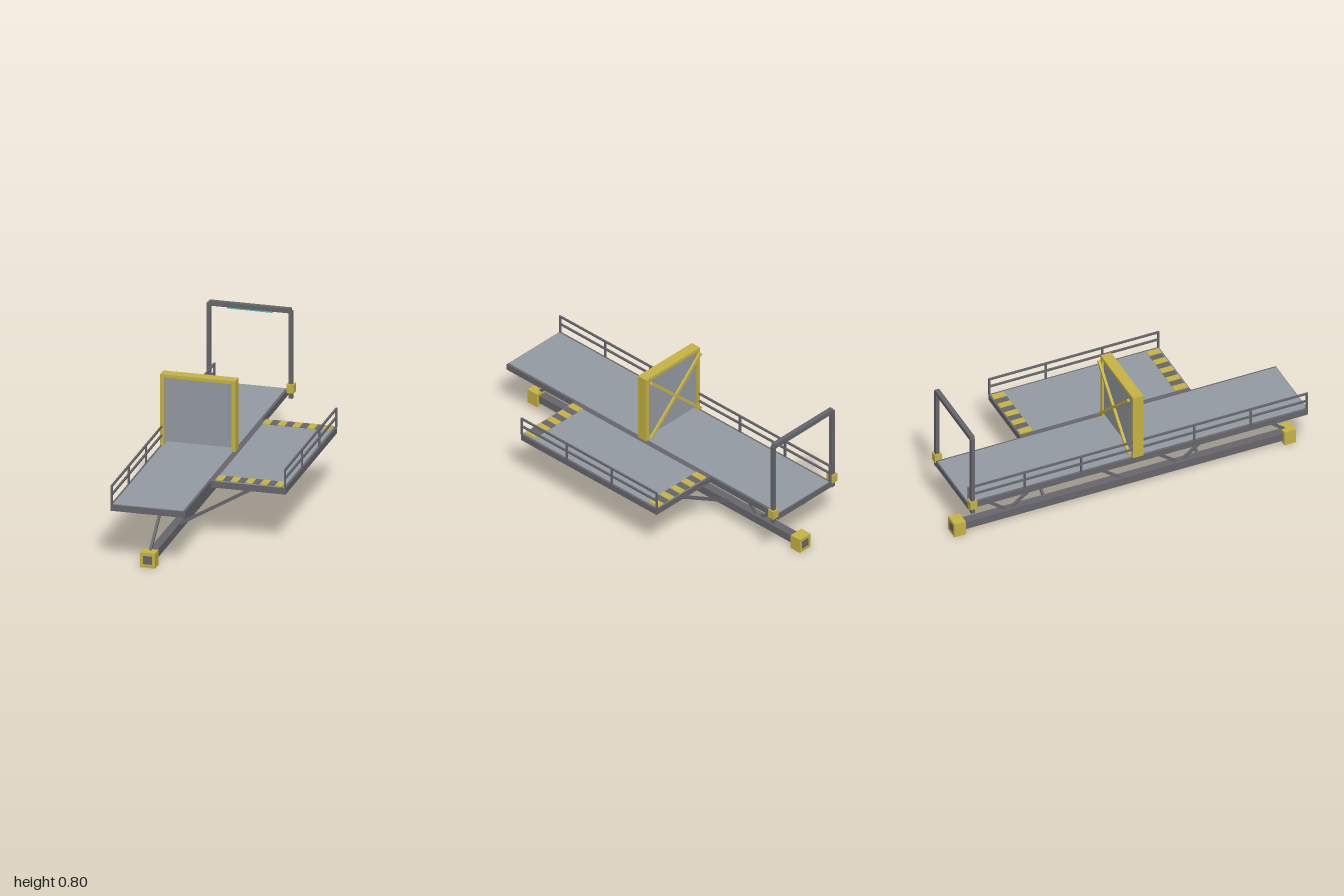
import * as THREE from 'three';

const mat = (name, color) => {
  const m = new THREE.MeshStandardMaterial({ color });
  m.name = name;
  return m;
};

export function createModel() {
  const model = new THREE.Group();
  model.name = 'gantryWalkway';
  const steel = mat('darkSteel', 0x67676d);
  const plate = mat('greyPlate', 0x959ba3);
  const yellow = mat('safetyYellow', 0xc8b444);
  const teal = mat('tealLight', 0x5cc4bc);

  const group = (name) => {
    const g = new THREE.Group();
    g.name = name;
    model.add(g);
    return g;
  };
  // Box given by its minimum and maximum corners
  const box = (parent, name, m, x0, x1, y0, y1, z0, z1) => {
    const mesh = new THREE.Mesh(new THREE.BoxGeometry(x1 - x0, y1 - y0, z1 - z0), m);
    mesh.position.set((x0 + x1) / 2, (y0 + y1) / 2, (z0 + z1) / 2);
    mesh.name = name;
    parent.add(mesh);
    return mesh;
  };
  // Square bar between two points
  const bar = (parent, name, m, a, b, w, d = w) => {
    const p = new THREE.Vector3(...a), q = new THREE.Vector3(...b);
    const mesh = new THREE.Mesh(new THREE.BoxGeometry(w, d, p.distanceTo(q)), m);
    mesh.position.copy(p).add(q).multiplyScalar(0.5);
    mesh.lookAt(q);
    mesh.name = name;
    parent.add(mesh);
  };

  // Framed deck: two side beams, end beams, joists and a thin floor plate
  const deck = (name, x0, x1, half, floorX0, floorX1, joists) => {
    const g = group(name);
    const w = 0.022;
    box(g, 'sideBeam', steel, x0, x0 + w, 0.302, 0.338, -half, half);
    box(g, 'sideBeam', steel, x1 - w, x1, 0.302, 0.338, -half, half);
    for (const s of [-1, 1]) {
      const z = s * (half - w / 2);
      box(g, 'endBeam', steel, x0 + w, x1 - w, 0.302, 0.337, z - w / 2, z + w / 2);
    }
    for (let i = 1; i < joists; i++) {
      const z = -half + (2 * half * i) / joists;
      box(g, 'joist', steel, x0 + w, x1 - w, 0.307, 0.331, z - 0.011, z + 0.011);
    }
    box(g, 'floorPlate', plate, floorX0, floorX1, 0.33, 0.341, -half + 0.005, half - 0.005);
  };
  deck('mainDeck', -0.395, 0.018, 0.995, -0.382, 0.006, 8);
  deck('sideDeck', 0.018, 0.431, 0.498, 0.04, 0.42, 4);

  // Railings along the outer edges
  const railing = (name, x, half, bays) => {
    const g = group(name);
    const r = 0.005;
    for (let i = 0; i <= bays; i++) {
      const z = -half + (2 * half * i) / bays;
      box(g, 'railPost', steel, x - r, x + r, 0.338, 0.44, z - r, z + r);
    }
    for (const y of [0.392, 0.44])
      box(g, 'handRail', steel, x - r, x + r, y - r, y + r, -half - r, half + r);
  };
  railing('mainRailing', -0.39, 0.99, 6);
  railing('sideRailing', 0.427, 0.495, 3);

  // Hazard stripes at both ends of the side deck
  const hazard = group('hazardStripes');
  for (const z of [-0.455, 0.452])
    for (let i = 0; i < 9; i++) {
      const x = 0.04 + i * 0.0412;
      const odd = i % 2;
      box(hazard, odd ? 'darkStripe' : 'yellowStripe', odd ? steel : yellow,
        x, x + 0.0412, 0.339, odd ? 0.344 : 0.345, z - 0.036, z + 0.036);
    }

  // Gate: yellow frame, hanging panel and cross braces on its rear
  const gate = group('gate');
  box(gate, 'gatePost', yellow, -0.397, -0.377, 0.338, 0.72, -0.03, 0.03);
  box(gate, 'gatePost', yellow, -0.001, 0.019, 0.338, 0.72, -0.03, 0.03);
  box(gate, 'gateLintel', yellow, -0.397, 0.019, 0.72, 0.738, -0.03, 0.03);
  box(gate, 'gatePanel', plate, -0.377, -0.001, 0.357, 0.72, -0.02, 0.018);
  bar(gate, 'gateBrace', yellow, [-0.38, 0.362, -0.05], [0.002, 0.722, -0.05], 0.014, 0.016);
  bar(gate, 'gateBrace', yellow, [0.002, 0.362, -0.05], [-0.38, 0.722, -0.05], 0.013, 0.016);

  // Portal at the rear end with clamp blocks and a light strip
  const portal = group('portal');
  for (const x of [-0.416, 0.038]) {
    box(portal, 'portalPost', steel, x - 0.011, x + 0.011, 0.292, 0.788, -0.991, -0.969);
    box(portal, 'clampBlock', yellow, x - 0.02, x + 0.02, 0.325, 0.374, -1, -0.96);
  }
  box(portal, 'portalBeam', steel, -0.416, 0.038, 0.775, 0.801, -0.993, -0.967);
  box(portal, 'lightStrip', teal, -0.314, -0.065, 0.766, 0.776, -0.987, -0.973);

  // Lower beam with yellow end blocks
  const chord = group('lowerChord');
  box(chord, 'lowerBeam', steel, -0.213, -0.165, 0.02, 0.066, -1, 1);
  for (const s of [-1, 1]) {
    const z = s * 0.9655;
    box(chord, 'endBlock', yellow, -0.23, -0.148, 0, 0.084, z - 0.0335, z + 0.0335);
  }

  // Truss diagonals between lower beam and main deck
  const truss = group('truss');
  const t = 1 / 3, lo = 0.05, hi = 0.303;
  const struts = [[2.95, lo, 2, hi], [2, hi, 1, lo], [1, lo, 0, hi],
    [0, lo, -1, hi], [-1, hi, -2, lo], [-2, lo, -2.97, hi]];
  for (const [za, ya, zb, yb] of struts)
    bar(truss, 'diagonal', steel, [-0.189, ya, za * t], [-0.189, yb, zb * t], 0.014);

  // Sloping supports under the side deck
  for (const z of [-0.45, 0.45])
    bar(truss, 'sideSupport', steel, [-0.189, 0.05, z], [0.225, 0.294, z], 0.014, 0.016);

  return model;
}
